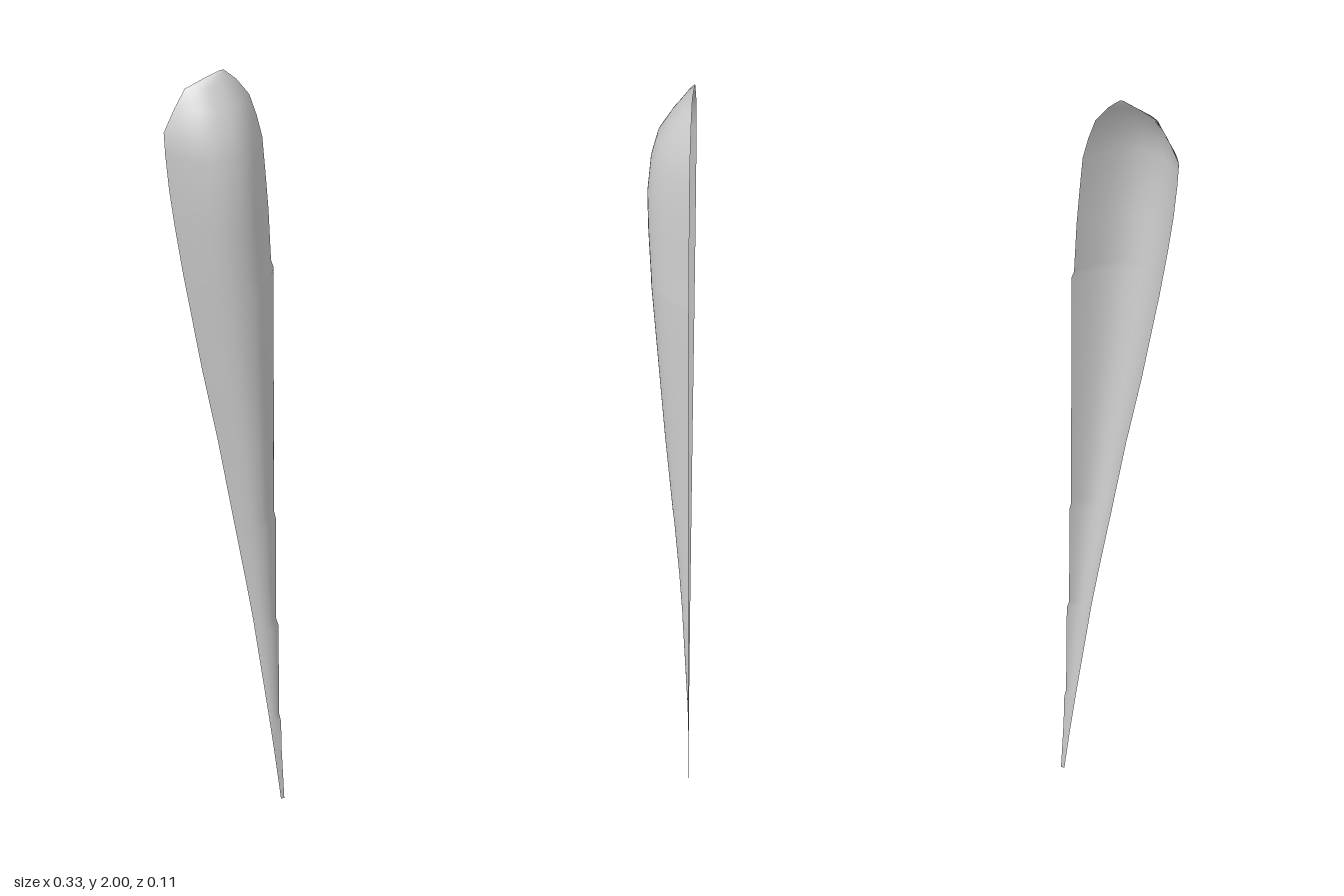
import * as THREE from 'three';

// Cross-sections from top to tip: height, left rim x, right rim x, front crest z
const SECTIONS = [
  [2.0, -0.012, -0.002, -0.055],
  [1.985, -0.06, 0.015, -0.045],
  [1.968, -0.107, 0.033, -0.031],
  [1.92, -0.135, 0.068, 0.003],
  [1.86, -0.164, 0.088, 0.034],
  [1.8, -0.16, 0.103, 0.049],
  [1.7, -0.149, 0.112, 0.057],
  [1.6, -0.134, 0.12, 0.054],
  [1.46, -0.11, 0.127, 0.046],
  [1.44, -0.106, 0.134, 0.045],
  [1.2, -0.06, 0.134, 0.025],
  [1.0, -0.017, 0.135, 0.008],
  [0.78, 0.025, 0.135, -0.013],
  [0.76, 0.029, 0.14, -0.016],
  [0.6, 0.06, 0.14, -0.03],
  [0.49, 0.08, 0.141, -0.038],
  [0.47, 0.083, 0.147, -0.039],
  [0.23, 0.121, 0.149, -0.052],
  [0.21, 0.124, 0.154, -0.053],
  [0.13, 0.136, 0.156, -0.055],
  [0.0, 0.154, 0.163, -0.055],
];
const BACK_Z = -0.055;
const COLUMNS = 32;

// Half-shell bulging to +z, open at the back
function shellGeometry() {
  const positions = [];
  const indices = [];
  for (const [y, left, right, crest] of SECTIONS) {
    for (let j = 0; j <= COLUMNS; j++) {
      const u = -Math.cos((j / COLUMNS) * Math.PI); // finer spacing near the rims
      const bulge = 1 - Math.pow(Math.abs(u), 2.2);
      positions.push(
        (left + right) / 2 + ((right - left) / 2) * u,
        y,
        BACK_Z + (crest - BACK_Z) * bulge
      );
    }
  }
  const row = COLUMNS + 1;
  for (let i = 0; i < SECTIONS.length - 1; i++) {
    for (let j = 0; j < COLUMNS; j++) {
      const a = i * row + j;
      const b = a + row;
      indices.push(a, b, a + 1, b, b + 1, a + 1);
    }
  }
  const geometry = new THREE.BufferGeometry();
  geometry.setAttribute('position', new THREE.Float32BufferAttribute(positions, 3));
  geometry.setIndex(indices);
  geometry.computeVertexNormals();
  return geometry;
}

export function createModel() {
  const group = new THREE.Group();
  const material = new THREE.MeshStandardMaterial({ color: 0xcccccc, side: THREE.DoubleSide });
  const shell = new THREE.Mesh(shellGeometry(), material);
  shell.name = 'taperedShell';
  group.add(shell);
  return group;
}
